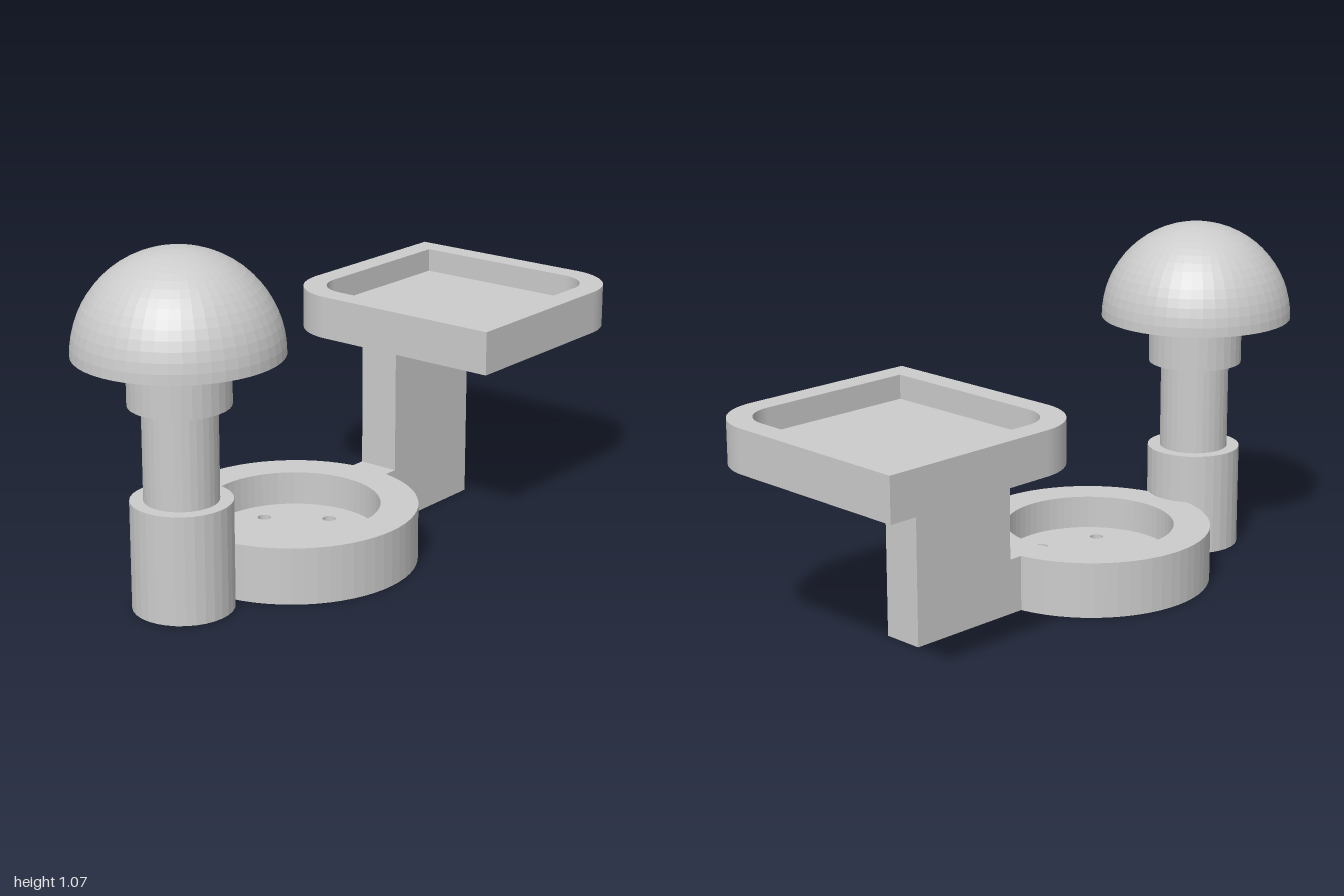
import * as THREE from 'three';

const material = new THREE.MeshStandardMaterial({ color: 0xcccccc, flatShading: true });

function add(parent, name, geometry, x = 0, y = 0, z = 0) {
  const mesh = new THREE.Mesh(geometry, material);
  mesh.name = name;
  mesh.position.set(x, y, z);
  parent.add(mesh);
  return mesh;
}

function box(parent, name, x0, x1, y0, y1, z0, z1) {
  add(parent, name, new THREE.BoxGeometry(x1 - x0, y1 - y0, z1 - z0),
    (x0 + x1) / 2, (y0 + y1) / 2, (z0 + z1) / 2);
}

// Extrude a plan outline (x, -z) upwards from y = 0
function slab(shape, height) {
  return new THREE.ExtrudeGeometry(shape, { depth: height, bevelEnabled: false, curveSegments: 32 })
    .rotateX(-Math.PI / 2);
}

function circle(PathType, radius, x = 0, y = 0) {
  return new PathType().absarc(x, y, radius, 0, Math.PI * 2, false);
}

// Rectangle rounded only at the back-left and front-right plan corners
function leaf(PathType, w, h, r) {
  const p = new PathType();
  p.moveTo(-w, -h);
  p.lineTo(w - r, -h);
  p.absarc(w - r, -h + r, r, -Math.PI / 2, 0, false);
  p.lineTo(w, h);
  p.lineTo(-w + r, h);
  p.absarc(-w + r, h - r, r, Math.PI / 2, Math.PI, false);
  p.lineTo(-w, -h);
  return p;
}

function lathe(points, segments) {
  return new THREE.LatheGeometry(points.map(([r, y]) => new THREE.Vector2(r, y)), segments);
}

export function createModel() {
  const model = new THREE.Group();
  model.name = 'trayStand';

  // Stepped column with a bore, carrying a solid dome
  const column = new THREE.Group();
  column.name = 'domedColumn';
  column.position.x = -0.695;
  model.add(column);
  add(column, 'steppedColumn', lathe([
    [0.05, 0.765], [0.05, 0], [0.15, 0], [0.15, 0.33], [0.11, 0.33],
    [0.11, 0.615], [0.15, 0.615], [0.15, 0.765],
  ], 32));
  const dome = [[0, 0.765]];
  for (let i = 0; i <= 16; i++) {
    const a = (i / 16) * Math.PI / 2;
    dome.push([0.305 * Math.cos(a), 0.765 + 0.305 * Math.sin(a)]);
  }
  add(column, 'dome', lathe(dome, 48));

  // Round dish: rim ring and a floor with five drain holes
  const dish = new THREE.Group();
  dish.name = 'roundDish';
  dish.position.x = -0.2;
  model.add(dish);
  const rim = circle(THREE.Shape, 0.38);
  rim.holes.push(circle(THREE.Path, 0.265));
  add(dish, 'dishRim', slab(rim, 0.175));
  const floor = circle(THREE.Shape, 0.265);
  for (let i = 0; i < 5; i++) {
    const a = (i * Math.PI * 2) / 5;
    floor.holes.push(circle(THREE.Path, 0.021, 0.172 * Math.cos(a), 0.172 * Math.sin(a)));
  }
  add(dish, 'dishFloor', slab(floor, 0.07));

  // Link and upright post
  box(model, 'link', 0.15, 0.22, 0, 0.175, -0.066, 0.066);
  box(model, 'post', 0.22, 0.6, 0, 0.556, -0.066, 0.066);

  // Raised tray with a shallow recess
  const tray = new THREE.Group();
  tray.name = 'tray';
  tray.position.set(0.61, 0.556, 0);
  model.add(tray);
  const wall = leaf(THREE.Shape, 0.39, 0.408, 0.19);
  wall.holes.push(leaf(THREE.Path, 0.315, 0.333, 0.115));
  add(tray, 'trayRim', slab(wall, 0.136));
  add(tray, 'trayFloor', slab(leaf(THREE.Shape, 0.315, 0.333, 0.115), 0.06));

  return model;
}
